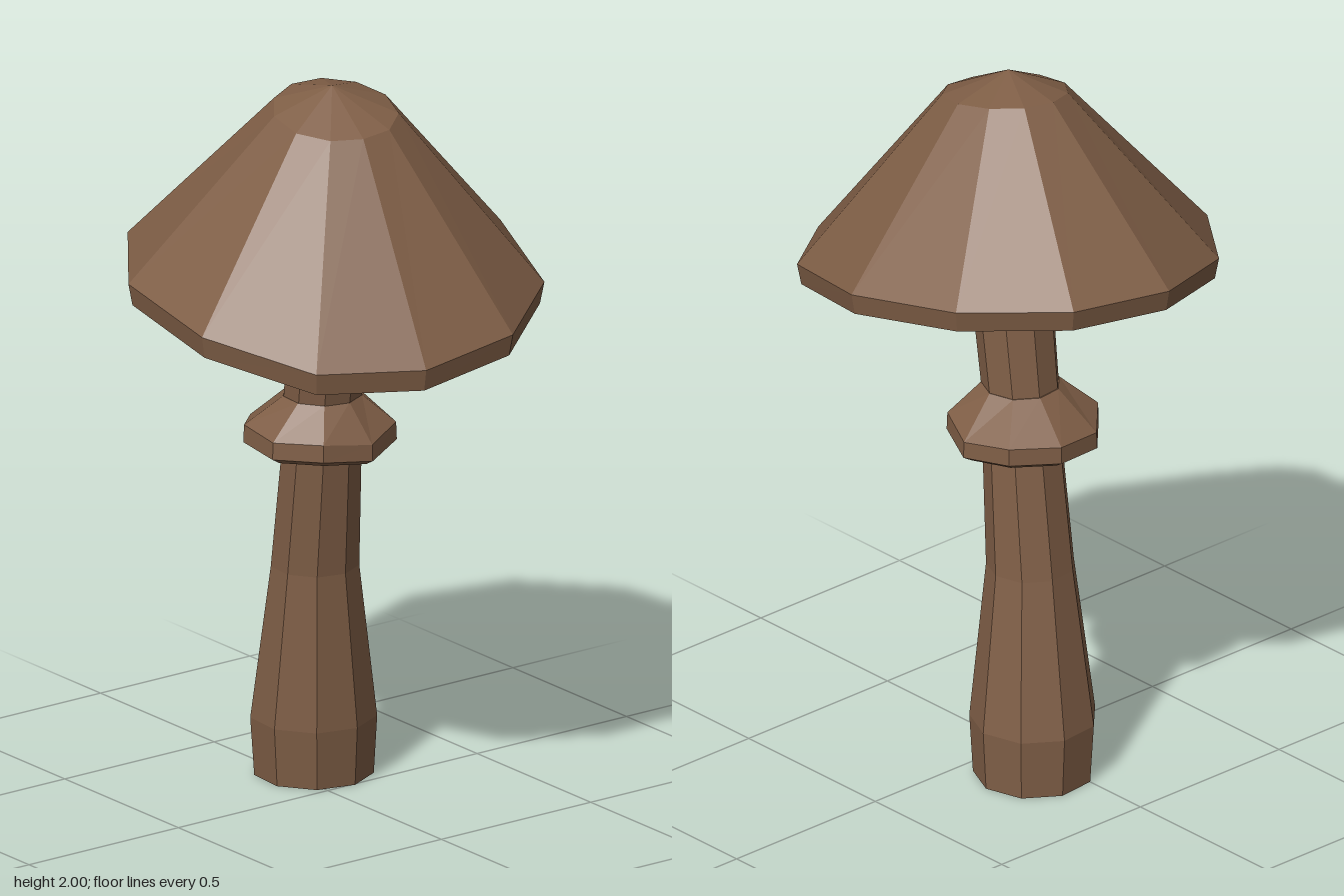
import * as THREE from 'three';

const brown = new THREE.MeshStandardMaterial({ color: 0x7f5e46, flatShading: true });
brown.name = 'mushroomBrown';

// Skins a stack of rings (bottom to top, counter-clockwise from above) and closes both ends.
function loft(name, rings, bottom, top) {
  const n = rings[0].length;
  const tris = [];
  for (let r = 0; r < rings.length - 1; r++) {
    for (let i = 0; i < n; i++) {
      const j = (i + 1) % n, a = rings[r], b = rings[r + 1];
      tris.push(a[i], a[j], b[j], a[i], b[j], b[i]);
    }
  }
  const first = rings[0], last = rings[rings.length - 1];
  for (let i = 0; i < n; i++) {
    const j = (i + 1) % n;
    tris.push(bottom, first[j], first[i], top, last[i], last[j]);
  }
  const geometry = new THREE.BufferGeometry().setFromPoints(tris);
  geometry.computeVertexNormals();
  const mesh = new THREE.Mesh(geometry, brown);
  mesh.name = name;
  return mesh;
}

const V = (x, y, z) => new THREE.Vector3(x, y, z);

// Nine-sided ring with an optional height ripple
function ring(x, y, z, radius, ripple = 0) {
  return Array.from({ length: 9 }, (_, i) => {
    const a = (i * 40 - 74) * Math.PI / 180;
    return V(x + radius * Math.cos(a), y + ripple * Math.sin(i * 2.6), z - radius * Math.sin(a));
  });
}

export function createModel() {
  const group = new THREE.Group();
  group.name = 'mushroom';

  // Leaning stem: swollen foot, narrow neck
  group.add(loft('stem', [
    ring(-0.155, 0, -0.07, 0.162),
    ring(-0.15, 0.165, -0.065, 0.172),
    ring(-0.117, 0.6, -0.045, 0.12),
    ring(-0.07, 0.95, -0.032, 0.108),
    ring(-0.045, 1.1, -0.016, 0.106),
    ring(0.01, 1.42, -0.003, 0.112),
  ], V(-0.155, 0, -0.07), V(0.01, 1.42, -0.003)));

  // Flared collar around the stem
  group.add(loft('collar', [
    ring(-0.07, 0.975, -0.03, 0.1),
    ring(-0.07, 0.948, -0.027, 0.18, 0.008),
    ring(-0.07, 0.965, -0.025, 0.208, 0.01),
    ring(-0.07, 1.012, -0.025, 0.206, 0.012),
    ring(-0.046, 1.105, -0.016, 0.107),
  ], V(-0.065, 0.975, -0.03), V(-0.046, 1.105, -0.016)));

  // Tilted, slightly irregular eleven-sided cap
  const rim = [
    [0.05, 1.51, -0.54], [-0.275, 1.55, -0.46], [-0.505, 1.565, -0.245], [-0.57, 1.555, 0.04],
    [-0.46, 1.515, 0.32], [-0.2, 1.48, 0.515], [0.15, 1.43, 0.535], [0.43, 1.365, 0.365],
    [0.565, 1.36, 0.1], [0.565, 1.4, -0.19], [0.375, 1.445, -0.44],
  ].map(p => V(...p));
  const lip = rim.map(p => V(p.x * 0.98, p.y - 0.06, p.z * 0.98));
  const underside = rim.map(p => V(p.x * 0.5, 1.342 - 0.17 * p.x * 0.5 - 0.09 * p.z * 0.5, p.z * 0.5));
  const crown = rim.map(p => V(0.04 + 0.3 * p.x, 1.933 - 0.05 * p.x - 0.027 * p.z, 0.01 + 0.3 * p.z));
  group.add(loft('cap', [underside, lip, rim, crown], V(0, 1.345, 0), V(0.035, 2, 0.012)));

  return group;
}
